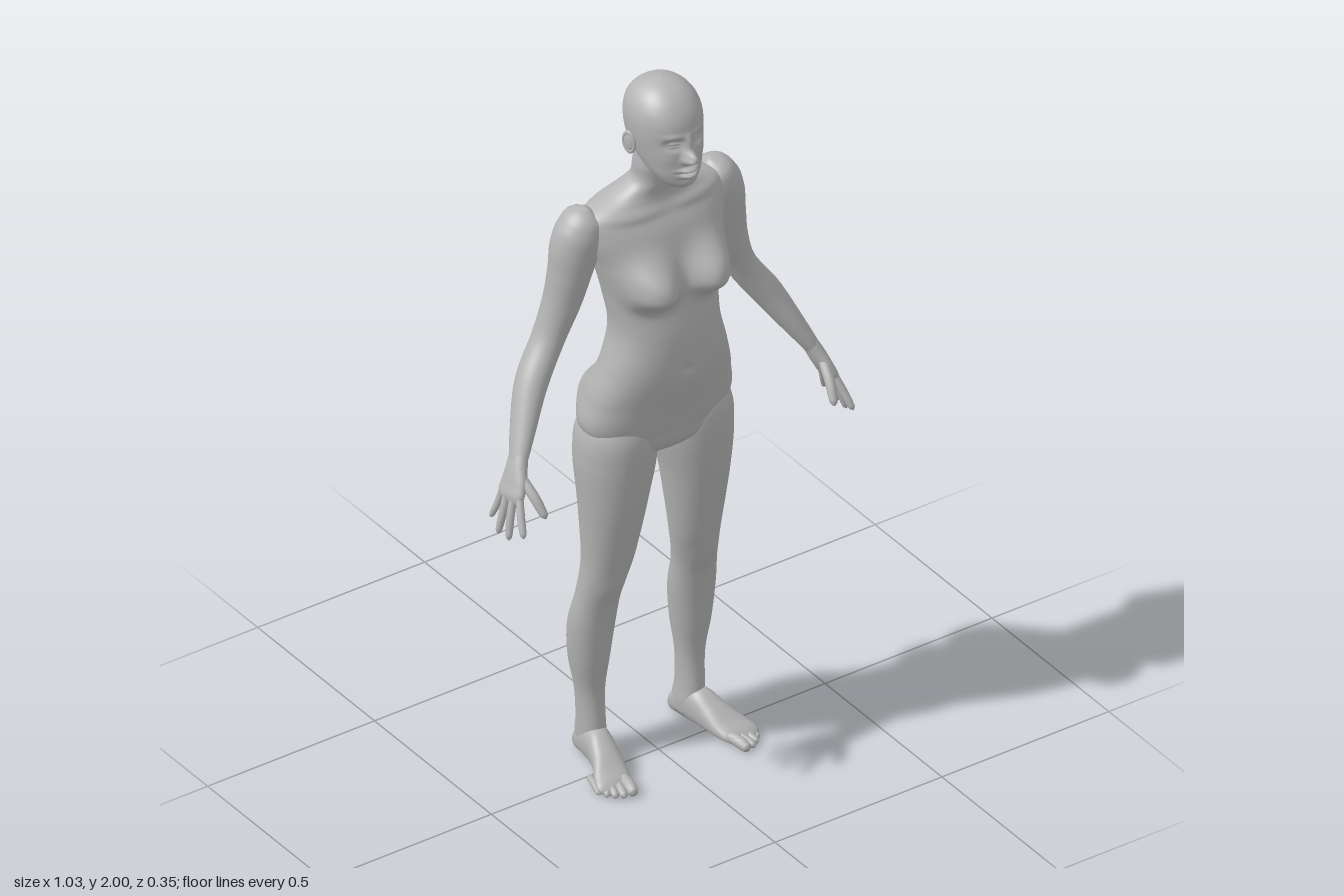
import * as THREE from 'three';

const skin = new THREE.MeshStandardMaterial({ color: 0xb4b4b4 });
skin.name = 'plain grey';

const UP = new THREE.Vector3(0, 1, 0);
const FORWARD = new THREE.Vector3(0, 0, 1);

// Smooth skin over rows of [x, y, z, half width, half depth].
// A fixed axis keeps all sections parallel; otherwise they follow the path.
function loft(rows, { steps = 40, seg = 32, axis = null, power = 1, bump = null } = {}) {
  const times = [0];
  for (let i = 1; i < rows.length; i++) {
    times.push(times[i - 1] + Math.hypot(...[0, 1, 2].map((k) => rows[i][k] - rows[i - 1][k])));
  }
  const curve = new THREE.CubicInterpolant(times, rows.flat(), 5, new Float32Array(5));
  const end = times[times.length - 1];
  const at = (t) => Array.from(curve.evaluate(Math.min(Math.max(t, 0), end * 0.99999)));
  const pos = [], index = [];
  const round = (c) => Math.sign(c) * Math.pow(Math.abs(c), power);
  for (let i = 0; i <= steps; i++) {
    const t = (end * i) / steps;
    const [x, y, z, a, b] = at(t);
    const p0 = at(t - end * 0.01), p1 = at(t + end * 0.01);
    const dir = axis ? axis.clone() : new THREE.Vector3(p1[0] - p0[0], p1[1] - p0[1], p1[2] - p0[2]).normalize();
    const ref = axis === FORWARD ? UP : FORWARD;
    const v = ref.clone().addScaledVector(dir, -ref.dot(dir)).normalize();
    const u = v.clone().cross(dir);
    for (let j = 0; j < seg; j++) {
      const ang = (j / seg) * Math.PI * 2;
      const s = round(Math.sin(ang));
      const p = new THREE.Vector3(x, y, z)
        .addScaledVector(u, Math.max(a, 0.001) * round(Math.cos(ang)))
        .addScaledVector(v, Math.max(b, 0.001) * s);
      if (bump) p.z += bump(p, s);
      pos.push(p.x, p.y, p.z);
      const k = i * seg + j, n = i * seg + ((j + 1) % seg);
      if (i < steps) index.push(k, n, k + seg, n, n + seg, k + seg);
    }
  }
  // closed ends
  const first = pos.length / 3, last = steps * seg;
  pos.push(...rows[0].slice(0, 3), ...rows[rows.length - 1].slice(0, 3));
  for (let j = 0; j < seg; j++) {
    const n = (j + 1) % seg;
    index.push(first, n, j, first + 1, last + j, last + n);
  }
  const g = new THREE.BufferGeometry();
  g.setAttribute('position', new THREE.Float32BufferAttribute(pos, 3));
  g.setIndex(index);
  g.computeVertexNormals();
  return g;
}

// Row from [height, x, half width, front z, back z].
const upright = ([y, x, w, f, b]) => [x, y, (f + b) / 2, w, (f - b) / 2];

// Soft bump around (x, y), the same on both sides of the body.
const hill = (p, x, y, sx, sy, amount) => {
  const d = ((Math.abs(p.x) - x) / sx) ** 2 + ((p.y - y) / sy) ** 2;
  return amount * Math.exp(-0.5 * Math.pow(d, 1.3));
};

// Rounded finger or toe through three points.
function digit(a, b, c, r) {
  const mix = (p, q, t) => p.map((n, i) => n + (q[i] - n) * t);
  return loft([
    [...a, r, r], [...b, r * 1.05, r * 1.05], [...mix(b, c, 0.6), r * 0.92, r * 0.92],
    [...mix(b, c, 0.88), r * 0.7, r * 0.7], [...c, r * 0.15, r * 0.15],
  ], { steps: 18, seg: 14 });
}

function mirrored(geo) {
  const g = geo.clone().scale(-1, 1, 1);
  const ix = g.index.array;
  for (let i = 0; i < ix.length; i += 3) [ix[i], ix[i + 1]] = [ix[i + 1], ix[i]];
  g.computeVertexNormals();
  return g;
}

// Torso relief: chest, belly, spine, shoulder blades and seat
function torsoBump(p, s) {
  if (s > 0) {
    const chest = hill(p, 0.09, 1.445, 0.052, p.y < 1.445 ? 0.037 : 0.058, 0.068);
    const belly = hill(p, 0, 1.2, 0.008, 0.011, -0.008) + hill(p, 0, 1.14, 0.06, 0.05, 0.006);
    const collar = hill(p, 0.09, 1.63, 0.06, 0.01, 0.006);
    return (chest + belly + collar) * Math.min(1, s * 1.8);
  }
  const seat = hill(p, 0.083, 1.03, 0.062, 0.066, 0.06);
  const back = hill(p, 0.1, 1.55, 0.04, 0.06, 0.01) + hill(p, 0, 1.38, 0.016, 0.15, -0.013);
  const cleft = hill(p, 0, 1.0, 0.01, 0.07, -0.015);
  return (seat + back + cleft) * Math.max(-1, s * 1.8);
}

// Facial relief
function faceBump(p, s) {
  if (s <= 0) return 0;
  const nose = hill(p, 0, 1.862, 0.009, 0.02, 0.013) + hill(p, 0, 1.83, 0.012, 0.013, 0.032)
    + hill(p, 0.013, 1.821, 0.007, 0.007, 0.011);
  const eyes = hill(p, 0.034, 1.866, 0.017, 0.011, -0.014) + hill(p, 0.034, 1.864, 0.012, 0.006, 0.008)
    + hill(p, 0.034, 1.863, 0.012, 0.0015, -0.003) + hill(p, 0.036, 1.888, 0.02, 0.007, 0.004);
  const mouth = hill(p, 0, 1.793, 0.02, 0.005, 0.014) + hill(p, 0, 1.776, 0.017, 0.005, 0.013)
    + hill(p, 0, 1.784, 0.022, 0.002, -0.005);
  const jaw = hill(p, 0, 1.75, 0.02, 0.011, 0.005) + hill(p, 0.055, 1.832, 0.018, 0.018, 0.004);
  return (nose + eyes + mouth + jaw) * Math.min(1, s * 1.6);
}

export function createModel() {
  const model = new THREE.Group();
  model.name = 'standing figure';
  const add = (name, geo) => {
    const m = new THREE.Mesh(geo, skin);
    m.name = name;
    model.add(m);
  };
  const pair = (name, geo) => {
    add('left ' + name, geo);
    add('right ' + name, mirrored(geo));
  };

  // Torso with pelvis and neck
  add('torso', loft([
    [0.91, 0, 0.04, 0.03, -0.05], [0.94, 0, 0.13, 0.07, -0.095], [1.0, 0, 0.203, 0.088, -0.125],
    [1.1, 0, 0.2, 0.11, -0.118], [1.2, 0, 0.17, 0.13, -0.09], [1.3, 0, 0.145, 0.13, -0.085],
    [1.4, 0, 0.155, 0.112, -0.1], [1.5, 0, 0.178, 0.095, -0.112], [1.58, 0, 0.2, 0.07, -0.117],
    [1.635, 0, 0.19, 0.04, -0.108], [1.668, 0, 0.115, 0.032, -0.09], [1.7, 0, 0.068, 0.038, -0.07],
    [1.75, 0, 0.06, 0.045, -0.06], [1.8, 0, 0.055, 0.05, -0.058],
  ].map(upright), { steps: 150, seg: 96, axis: UP, power: 0.88, bump: torsoBump }));

  // Head
  add('head', loft([
    [1.732, 0, 0.028, 0.118, 0.06], [1.745, 0, 0.045, 0.129, 0.03], [1.77, 0, 0.063, 0.135, -0.005],
    [1.8, 0, 0.076, 0.135, -0.048], [1.84, 0, 0.086, 0.13, -0.075], [1.88, 0, 0.091, 0.129, -0.086],
    [1.92, 0, 0.09, 0.123, -0.085], [1.95, 0, 0.081, 0.108, -0.075], [1.975, 0, 0.062, 0.085, -0.053],
    [1.99, 0, 0.04, 0.06, -0.027], [1.998, 0, 0.017, 0.034, -0.002], [2.0, 0, 0.004, 0.02, 0.012],
  ].map(upright), { steps: 140, seg: 120, axis: UP, power: 0.93, bump: faceBump }));

  // Ears: an inner bowl and a rim
  const place = (g) => g.rotateY(Math.PI / 2 - 0.35).rotateX(-0.15).translate(0.096, 1.842, 0.012);
  pair('ear', place(new THREE.SphereGeometry(1, 20, 14).scale(0.015, 0.025, 0.006)));
  pair('ear rim', place(new THREE.TorusGeometry(0.016, 0.004, 10, 28).scale(1, 1.6, 1)));

  // Arms
  pair('arm', loft([
    [0.183, 1.652, -0.045, 0.008, 0.012], [0.19, 1.638, -0.045, 0.038, 0.042], [0.2, 1.6, -0.045, 0.06, 0.06],
    [0.215, 1.55, -0.048, 0.064, 0.062], [0.23, 1.48, -0.05, 0.056, 0.056], [0.248, 1.4, -0.056, 0.049, 0.05],
    [0.287, 1.3, -0.06, 0.04, 0.045], [0.352, 1.2, -0.04, 0.039, 0.045], [0.408, 1.1, 0.002, 0.028, 0.036],
    [0.435, 1.05, 0.025, 0.021, 0.029], [0.445, 1.03, 0.032, 0.018, 0.026],
  ], { steps: 70, seg: 36 }));

  // Hands
  pair('palm', loft([
    [0.43, 1.065, 0.02, 0.018, 0.026], [0.447, 1.025, 0.033, 0.02, 0.033], [0.463, 0.988, 0.043, 0.018, 0.043],
    [0.477, 0.957, 0.048, 0.014, 0.043], [0.482, 0.945, 0.049, 0.005, 0.03],
  ], { steps: 30, seg: 28, power: 0.9 }));
  [
    [0.472, 0.081, [0.484, 0.925, 0.105], [0.494, 0.885, 0.13], 0.0098],
    [0.476, 0.06, [0.494, 0.91, 0.072], [0.506, 0.86, 0.083], 0.01],
    [0.477, 0.036, [0.495, 0.908, 0.04], [0.508, 0.857, 0.04], 0.0098],
    [0.476, 0.015, [0.488, 0.92, 0.008], [0.5, 0.88, -0.003], 0.0085],
  ].forEach(([x, z, mid, tip, r], i) => {
    pair(['index', 'middle', 'ring', 'little'][i] + ' finger', digit([x, 0.968, z], mid, tip, r));
  });
  pair('thumb', digit([0.452, 1.015, 0.055], [0.442, 0.97, 0.105], [0.432, 0.925, 0.138], 0.0125));

  // Legs
  const knee = (p, s) => (s > 0 ? s * hill(p, 0.137, 0.53, 0.03, 0.035, 0.008) : 0);
  pair('leg', loft([
    [0.02, 0.145, 0.03, -0.035, -0.13], [0.06, 0.146, 0.034, -0.03, -0.13], [0.1, 0.148, 0.033, -0.033, -0.122],
    [0.2, 0.15, 0.037, -0.04, -0.12], [0.3, 0.152, 0.052, -0.028, -0.132], [0.4, 0.15, 0.06, -0.016, -0.128],
    [0.5, 0.143, 0.059, 0.0, -0.102], [0.6, 0.131, 0.065, 0.03, -0.094], [0.7, 0.126, 0.076, 0.052, -0.1],
    [0.8, 0.122, 0.088, 0.07, -0.11], [0.92, 0.115, 0.103, 0.082, -0.125], [1.0, 0.112, 0.098, 0.08, -0.12],
    [1.08, 0.105, 0.065, 0.05, -0.08],
  ].map(upright), { steps: 110, seg: 44, axis: UP, power: 0.95, bump: knee }));

  // Feet, from heel to ball: [z, x, half width, height]
  pair('foot', loft([
    [-0.138, 0.142, 0.01, 0.035], [-0.127, 0.143, 0.026, 0.055], [-0.085, 0.147, 0.034, 0.09],
    [-0.035, 0.154, 0.036, 0.1], [0.015, 0.166, 0.041, 0.075], [0.06, 0.183, 0.049, 0.046],
    [0.09, 0.193, 0.046, 0.03], [0.105, 0.193, 0.032, 0.018],
  ].map(([z, x, w, h]) => [x, h / 2, z, w, h / 2]), { steps: 50, seg: 36, axis: FORWARD, power: 0.85 }));
  [
    [0.16, 0.172, 0.145, 0.0145], [0.181, 0.195, 0.138, 0.0105], [0.199, 0.212, 0.126, 0.01],
    [0.212, 0.226, 0.11, 0.0095], [0.222, 0.238, 0.09, 0.009],
  ].forEach(([x, tipX, z, r], i) => {
    pair('toe ' + (i + 1), digit([x, r + 0.006, z - 0.065], [(x + tipX) / 2, r + 0.004, z - 0.03], [tipX, r * 0.8, z], r));
  });

  return model;
}
